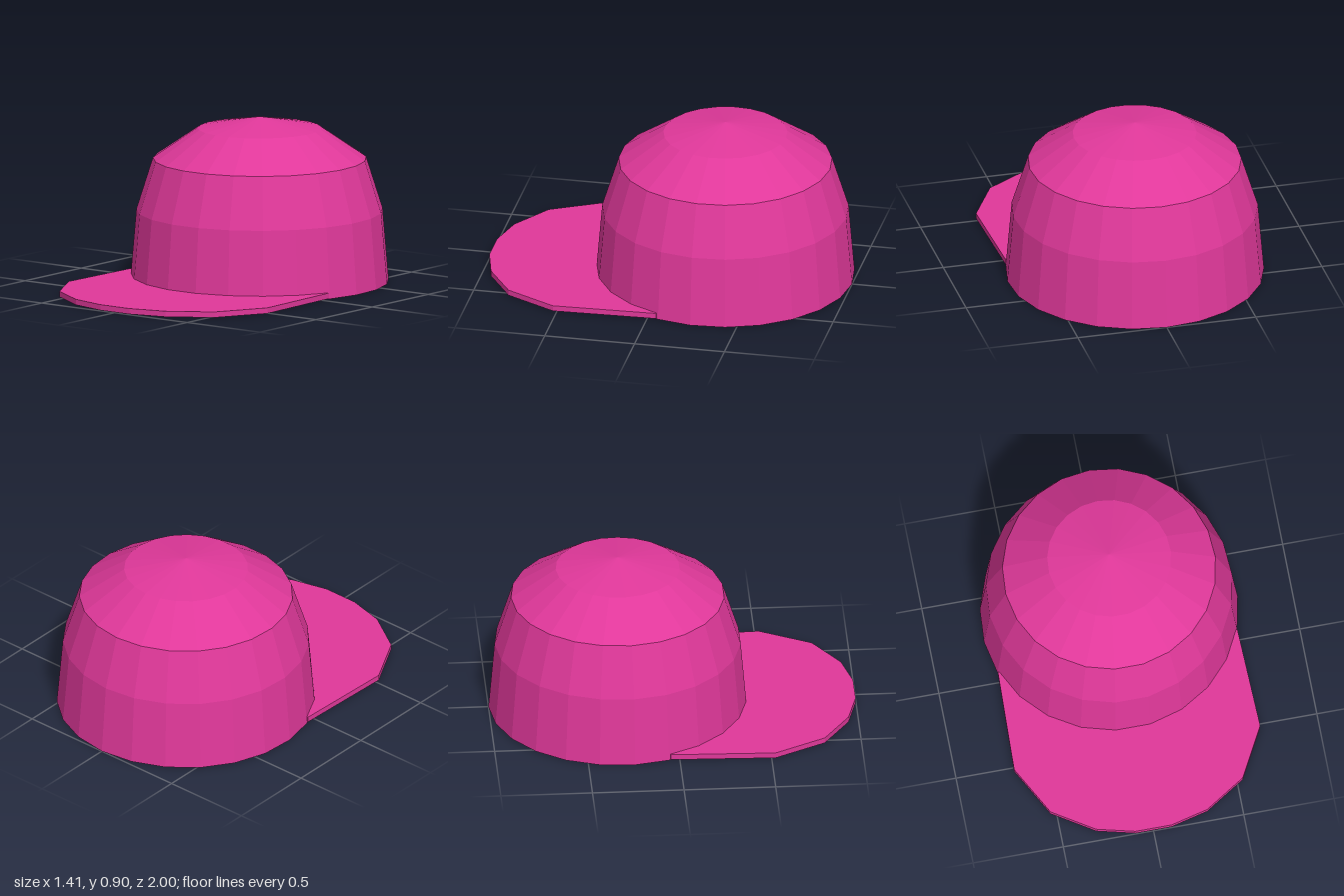
import * as THREE from 'three';

const SIDES = 23;

export function createModel() {
  const group = new THREE.Group();
  group.name = 'cap';
  const pink = new THREE.MeshStandardMaterial({ color: 0xe0389a, flatShading: true });

  // Faceted crown with a closed underside, one corner at the very back
  const profile = [[0, 0], [0.705, 0], [0.672, 0.39], [0.582, 0.675], [0.338, 0.842], [0, 0.905]]
    .map(([r, y]) => new THREE.Vector2(r, y));
  const crown = new THREE.Mesh(new THREE.LatheGeometry(profile, SIDES, Math.PI), pink);
  crown.name = 'crown';
  crown.position.z = -0.295;
  group.add(crown);

  // Flat brim: half outline (x, z) mirrored, its rear edge hidden in the crown
  const half = [[0.1, 0.997], [0.308, 0.945], [0.533, 0.8], [0.682, 0.522], [0.664, -0.05]];
  const outline = [...half, ...half.map(([x, z]) => [-x, z]).reverse()]
    .map(([x, z]) => new THREE.Vector2(x, z));
  const brimGeometry = new THREE.ExtrudeGeometry(new THREE.Shape(outline), { depth: 0.031, bevelEnabled: false });
  brimGeometry.rotateX(Math.PI / 2);
  const brim = new THREE.Mesh(brimGeometry, pink);
  brim.name = 'brim';
  brim.position.y = 0.034;
  group.add(brim);

  return group;
}
